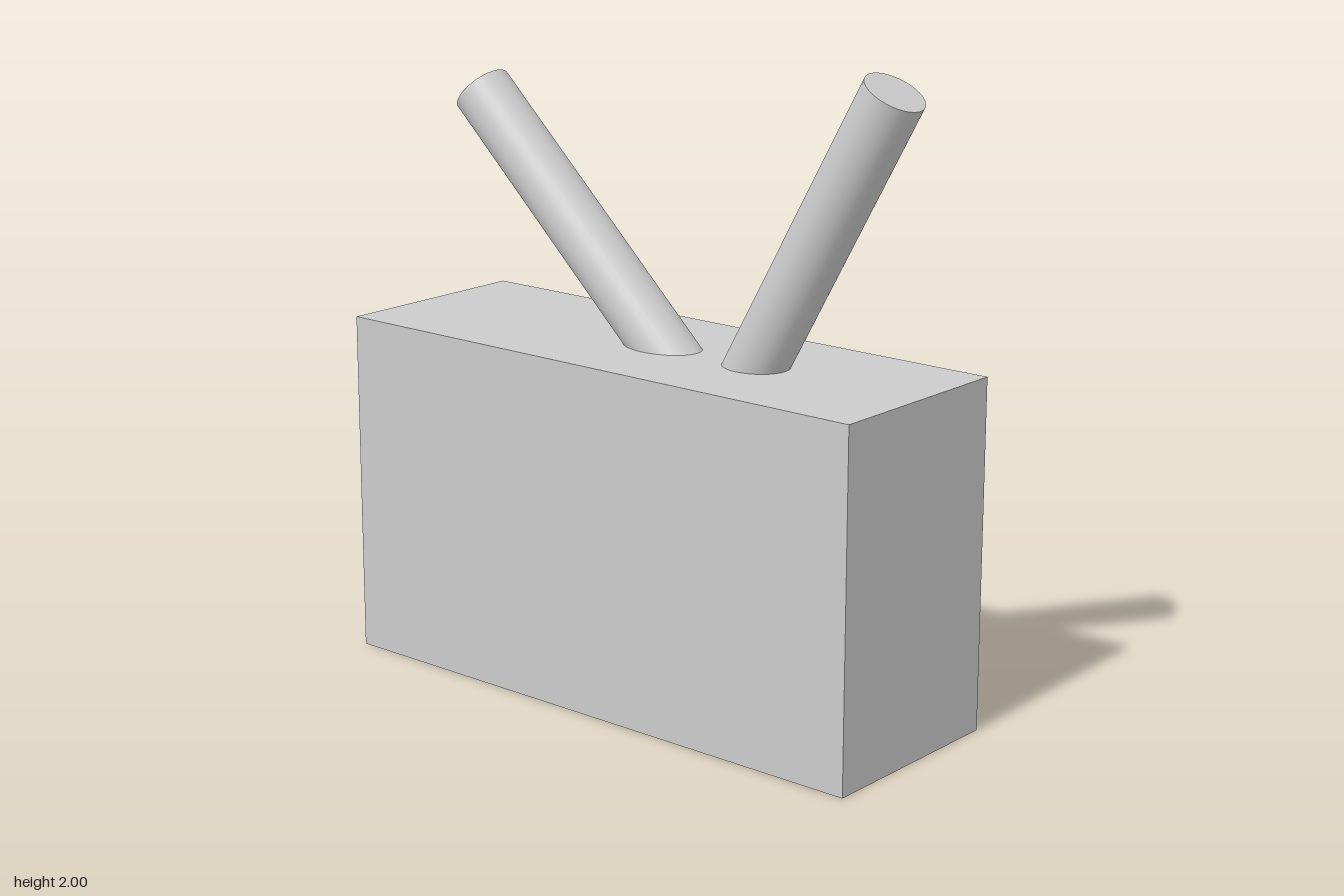
import * as THREE from 'three';

const material = new THREE.MeshStandardMaterial({ color: 0xcccccc });

function addMesh(group, name, geometry) {
  const mesh = new THREE.Mesh(geometry, material);
  mesh.name = name;
  group.add(mesh);
  return mesh;
}

// Rectangle outline in the side plane, traced into a shape or a hole
function traceRect(path, x0, y0, x1, y1) {
  path.moveTo(x0, y0);
  path.lineTo(x1, y0);
  path.lineTo(x1, y1);
  path.lineTo(x0, y1);
  path.closePath();
  return path;
}

// Round rod running between two points
function addRod(group, name, from, to, radius) {
  const axis = to.clone().sub(from);
  const rod = addMesh(group, name, new THREE.CylinderGeometry(radius, radius, axis.length(), 32));
  rod.position.copy(from).addScaledVector(axis, 0.5);
  rod.quaternion.setFromUnitVectors(new THREE.Vector3(0, 1, 0), axis.normalize());
}

export function createModel() {
  const group = new THREE.Group();
  group.name = 'boxWithRods';

  // Main case
  const body = addMesh(group, 'body', new THREE.BoxGeometry(0.67, 1.095, 1.935));
  body.position.set(-0.02, 0.5475, 0.0025);

  // Raised side panel with a window slot; shape x runs along -z
  const outline = traceRect(new THREE.Shape(), -0.855, 0.1, 0.85, 1.0);
  outline.holes.push(traceRect(new THREE.Path(), -0.72, 0.613, 0.105, 0.815));
  const panel = addMesh(group, 'sidePanel',
    new THREE.ExtrudeGeometry(outline, { depth: 0.037, bevelEnabled: false }));
  panel.rotation.y = Math.PI / 2;
  panel.position.x = 0.315;

  // Slanted rods, sunk slightly into the top of the case
  const x = -0.02, radius = 0.094;
  addRod(group, 'frontRod', new THREE.Vector3(x, 0.915, 0.28), new THREE.Vector3(x, 1.954, 0.86), radius);
  addRod(group, 'backRod', new THREE.Vector3(x, 0.933, 0.188), new THREE.Vector3(x, 1.802, -0.72), radius);

  return group;
}
